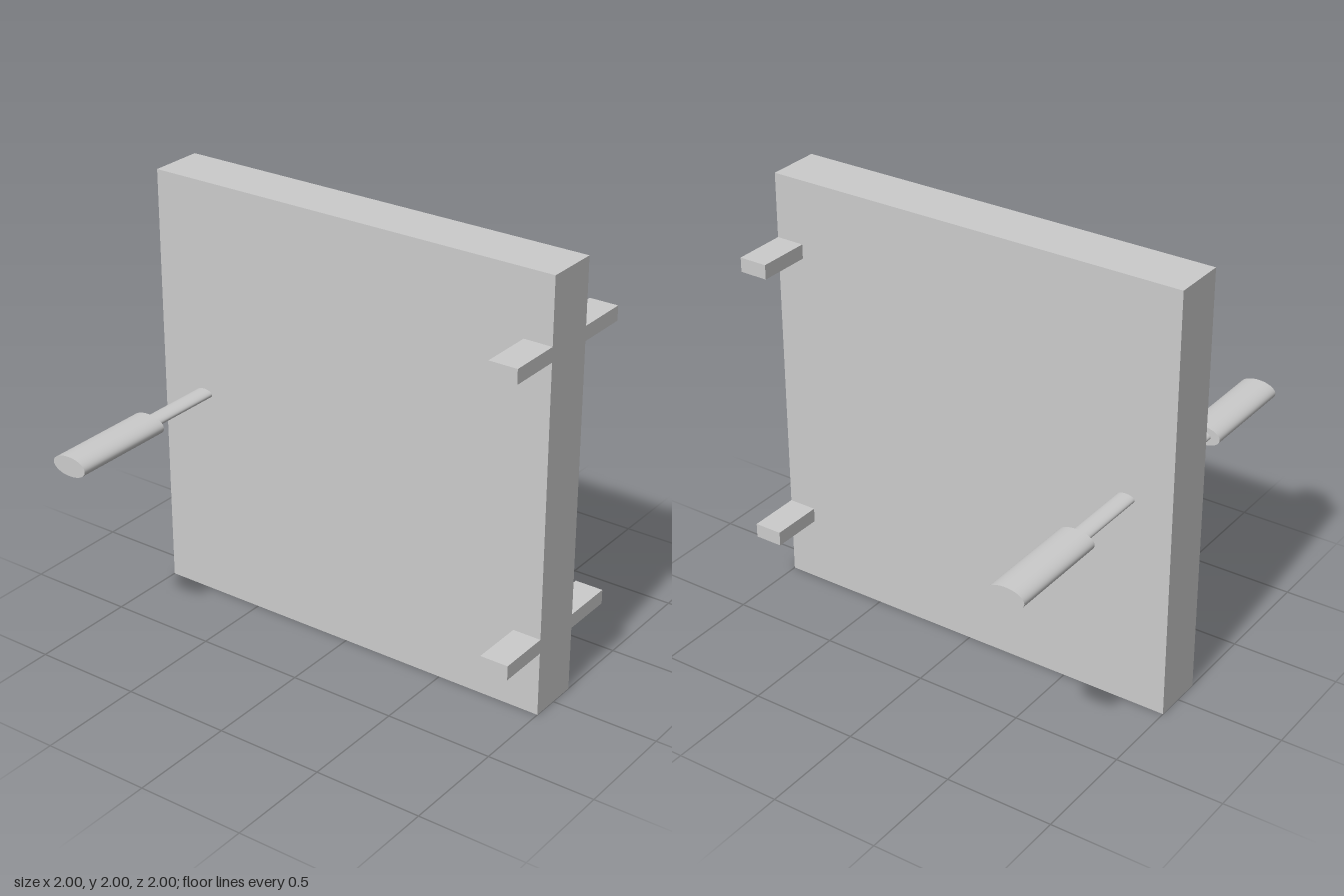
import * as THREE from 'three';

const material = new THREE.MeshStandardMaterial({ color: 0xcccccc });

function add(parent, name, geometry, x, y, z) {
  const mesh = new THREE.Mesh(geometry, material);
  mesh.name = name;
  mesh.position.set(x, y, z);
  parent.add(mesh);
}

// Cylinder along z with an oval cross-section
function ovalBar(rx, ry, length) {
  return new THREE.CylinderGeometry(1, 1, length, 48).rotateX(Math.PI / 2).scale(rx, ry, 1);
}

export function createModel() {
  const model = new THREE.Group();
  model.name = 'door';

  add(model, 'panel', new THREE.BoxGeometry(2, 2, 0.25), 0, 1, 0);

  // Matching hardware on both faces
  for (const [side, s] of [['front', 1], ['back', -1]]) {
    // Hinge tabs flush with the left edge
    for (const [level, y] of [['Lower', 0.337], ['Upper', 1.667]]) {
      add(model, side + level + 'Hinge', new THREE.BoxGeometry(0.133, 0.067, 0.25), 0.9335, y, s * 0.25);
    }

    // Handle: thin oval stem and thicker oval grip
    const handle = new THREE.Group();
    handle.name = side + 'Handle';
    handle.position.set(-0.778, 1, 0);
    add(handle, 'stem', ovalBar(0.043, 0.021, 0.4), 0, 0, s * 0.31);
    add(handle, 'grip', ovalBar(0.087, 0.045, 0.5), 0, 0, s * 0.75);
    model.add(handle);
  }
  return model;
}
